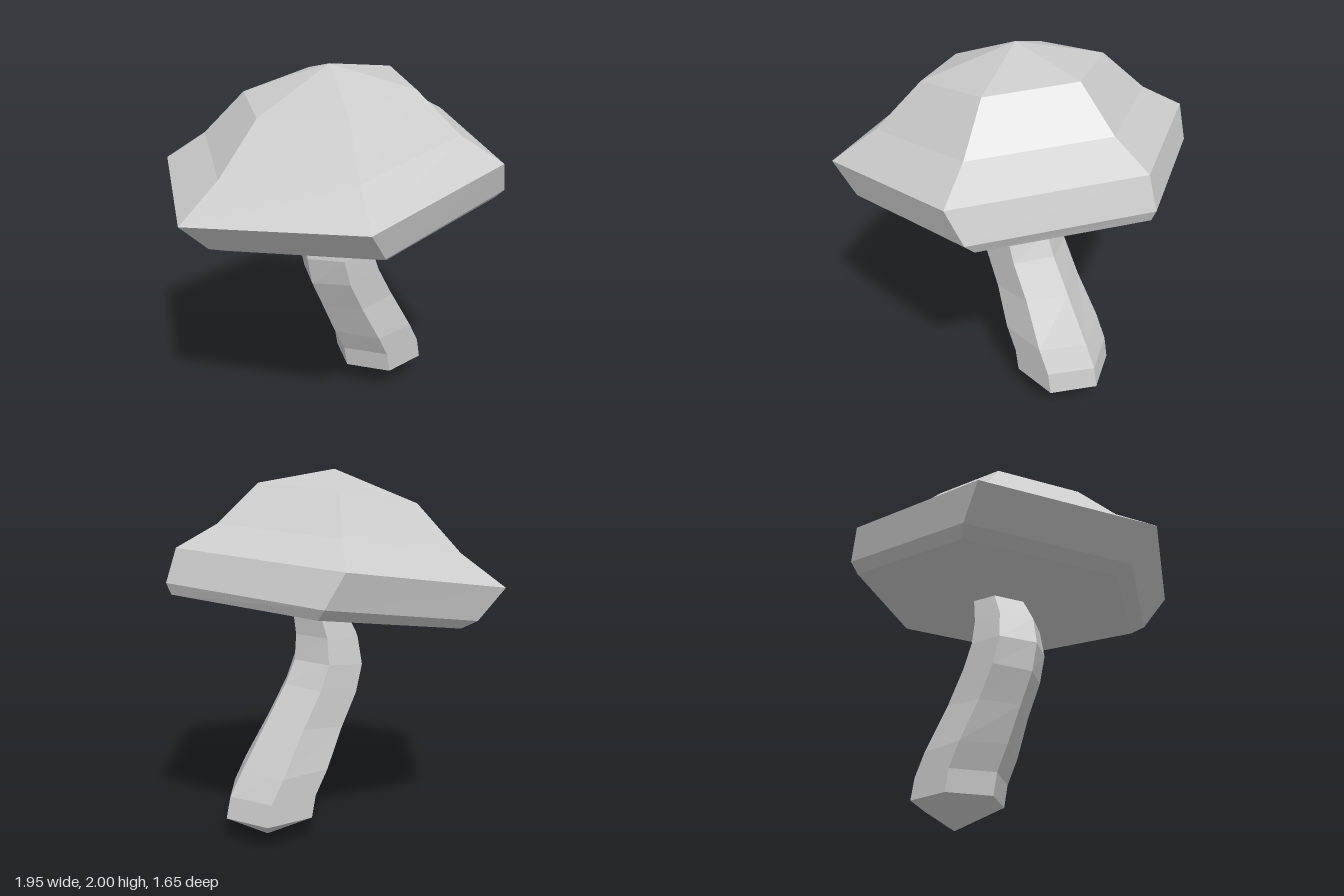
import * as THREE from 'three';

const SIDES = 6;
const material = new THREE.MeshStandardMaterial({ color: 0xcccccc, flatShading: true });

// Tilted hexagon: left corner (xl, yl), right corner (xr, yr), half depth in z
function hexRing([xl, yl, xr, yr, depth]) {
  return Array.from({ length: SIDES }, (_, k) => {
    const a = (k / SIDES) * Math.PI * 2;
    const t = (1 + Math.cos(a)) / 2;
    return new THREE.Vector3(
      xl + (xr - xl) * t,
      yl + (yr - yl) * t,
      (depth * Math.sin(a)) / Math.sin(Math.PI / 3)
    );
  });
}

// Skin hexagonal rings from bottom to top; a zero-size ring closes an end to a point
function loft(name, sections) {
  const rings = sections.map(hexRing);
  const points = [];
  for (let i = 0; i < rings.length - 1; i++) {
    for (let k = 0; k < SIDES; k++) {
      const n = (k + 1) % SIDES;
      const [low, high] = [rings[i], rings[i + 1]];
      if (sections[i][4] > 0) points.push(low[k], high[k], low[n]);
      if (sections[i + 1][4] > 0) points.push(high[k], high[n], low[n]);
    }
  }
  const geometry = new THREE.BufferGeometry().setFromPoints(points);
  geometry.computeVertexNormals();
  const mesh = new THREE.Mesh(geometry, material);
  mesh.name = name;
  return mesh;
}

export function createModel() {
  const group = new THREE.Group();
  group.name = 'mushroom';

  // Bent stem with a pointed foot, its top buried in the cap
  group.add(loft('stem', [
    [0.44, 0, 0.44, 0, 0],
    [0.15, 0.145, 0.685, 0.145, 0.23],
    [0.125, 0.27, 0.66, 0.265, 0.23],
    [0.05, 0.41, 0.59, 0.39, 0.23],
    [-0.045, 0.61, 0.435, 0.65, 0.2],
    [-0.13, 0.785, 0.315, 0.85, 0.195],
    [-0.165, 0.945, 0.255, 0.98, 0.19],
    [-0.14, 1.1, 0.245, 1.12, 0.17],
    [-0.04, 1.28, 0.268, 1.3, 0.14],
    [0.115, 1.3, 0.115, 1.3, 0],
  ]));

  // Tilted cap: underside, rolled rim and stepped dome
  group.add(loft('cap', [
    [0.12, 1.255, 0.12, 1.255, 0],
    [-0.72, 1.155, 0.945, 1.39, 0.725],
    [-0.81, 1.19, 0.97, 1.45, 0.78],
    [-0.975, 1.35, 0.912, 1.62, 0.823],
    [-0.73, 1.53, 0.69, 1.73, 0.62],
    [-0.485, 1.79, 0.458, 1.93, 0.412],
    [0, 2, 0, 2, 0],
  ]));

  return group;
}
